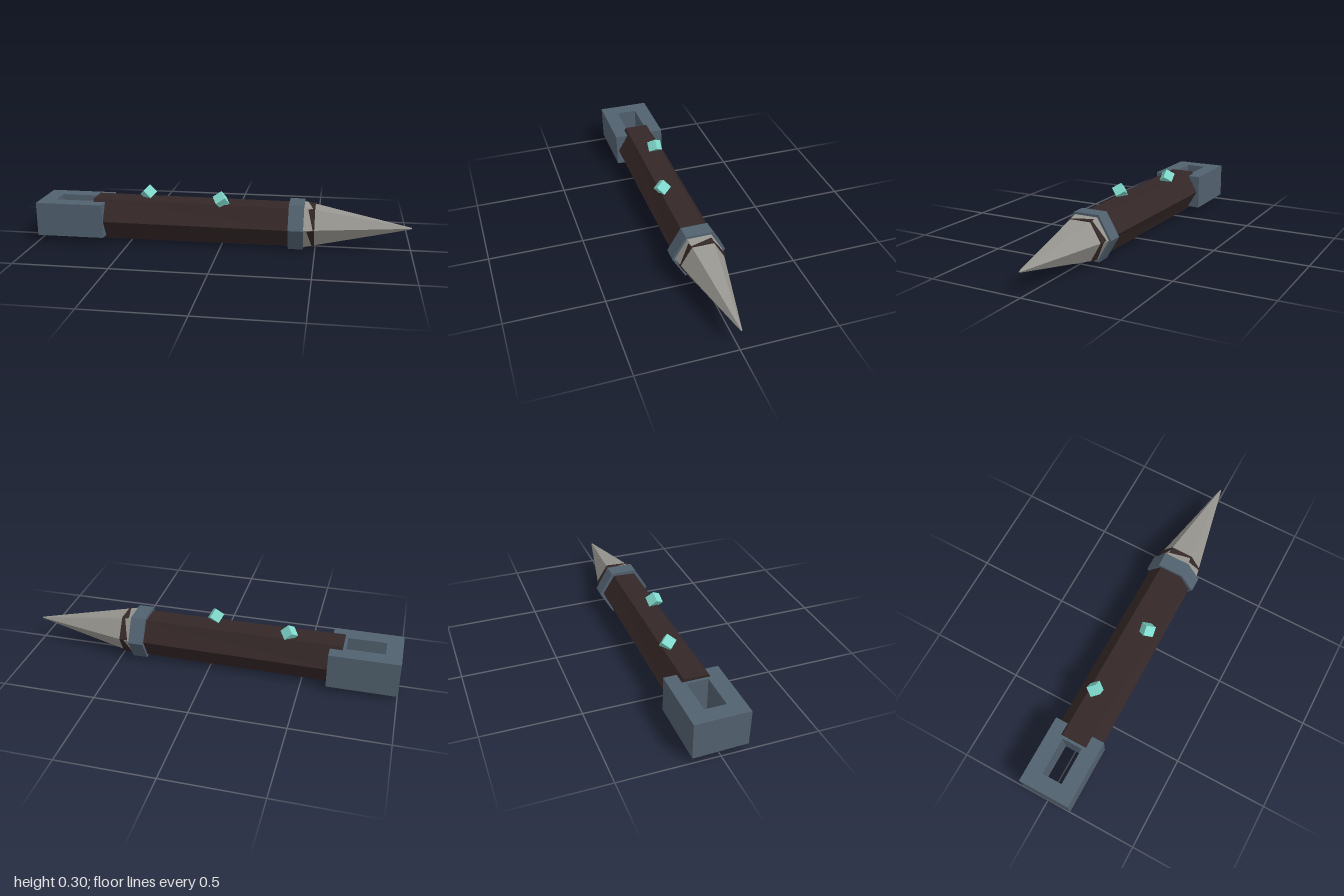
import * as THREE from 'three';

const AXIS_Y = 0.122;

const mat = (name, color) => {
  const m = new THREE.MeshStandardMaterial({ color });
  m.name = name;
  return m;
};

// Gives every face its own normal
function faceted(geometry) {
  const g = geometry.index ? geometry.toNonIndexed() : geometry;
  g.computeVertexNormals();
  return g;
}

// Six-sided prism lying along x, from x0 (radius r0) to x1 (radius r1)
function hexPrism(x0, x1, r0, r1) {
  const g = new THREE.CylinderGeometry(r1, r0, x1 - x0, 6);
  g.rotateZ(-Math.PI / 2);
  g.translate((x0 + x1) / 2, AXIS_Y, 0);
  return g;
}

// Moves the vertices of a geometry by a rule
function reshape(g, rule) {
  const p = g.attributes.position;
  const v = new THREE.Vector3();
  for (let i = 0; i < p.count; i++) {
    v.fromBufferAttribute(p, i);
    rule(v);
    p.setXYZ(i, v.x, v.y, v.z);
  }
  return g;
}

export function createModel() {
  const model = new THREE.Group();
  const wood = mat('dark wood', 0x342727);
  const iron = mat('blue iron', 0x52616f);
  const stone = mat('grey stone', 0x979690);
  const crystal = mat('turquoise crystal', 0x80dacd);

  const add = (name, geometry, material) => {
    const mesh = new THREE.Mesh(faceted(geometry), material);
    mesh.name = name;
    model.add(mesh);
    return mesh;
  };

  // Shaft, slightly twisted and shifted at the tip end
  const twist = new THREE.Vector3(1, 0, 0);
  add('shaft', reshape(hexPrism(-0.7, 0.495, 0.127, 0.12), (v) => {
    if (v.x < 0) return;
    v.y -= AXIS_Y;
    v.applyAxisAngle(twist, 0.045);
    v.y += AXIS_Y - 0.001;
    v.z -= 0.001;
  }), wood);

  // Collar and pointed tip
  add('collar', hexPrism(0.358, 0.438, 0.14, 0.14), iron);
  add('tip', hexPrism(0.4, 1, 0.1345, 0.004), stone);

  // Slotted handle
  const outline = new THREE.Shape([
    [-1, -0.14], [-0.635, -0.14], [-0.635, 0.14], [-1, 0.14],
  ].map(([x, z]) => new THREE.Vector2(x, z)));
  outline.holes.push(new THREE.Path([
    [-0.915, -0.055], [-0.915, 0.055], [-0.715, 0.055], [-0.715, -0.055],
  ].map(([x, z]) => new THREE.Vector2(x, z))));
  const handle = new THREE.ExtrudeGeometry(outline, { depth: 0.186, bevelEnabled: false });
  handle.rotateX(Math.PI / 2);
  handle.translate(0, 0.217, 0);
  // The underside slopes a little across the width
  reshape(handle, (v) => {
    if (v.y < 0.1) {
      v.y += v.z * 0.025;
      if (v.z > 0.1) v.z -= 0.004;
    }
  });
  add('handle', handle, iron);

  // Tilted crystals half sunk in the shaft
  const backCrystal = add('backCrystal', new THREE.BoxGeometry(0.055, 0.055, 0.055), crystal);
  backCrystal.position.set(-0.417, 0.252, -0.032);
  backCrystal.rotation.set(0, Math.PI / 4, Math.PI / 4, 'ZYX');

  const frontCrystal = add('frontCrystal', new THREE.BoxGeometry(0.056, 0.056, 0.056), crystal);
  frontCrystal.position.set(-0.003, 0.249, 0.052);
  const a = new THREE.Vector3(0.025, -0.029, 0.045).normalize();
  const c = a.clone().cross(new THREE.Vector3(0.025, -0.042, -0.033)).normalize();
  const b = c.clone().cross(a);
  frontCrystal.quaternion.setFromRotationMatrix(new THREE.Matrix4().makeBasis(a, b, c));

  return model;
}
